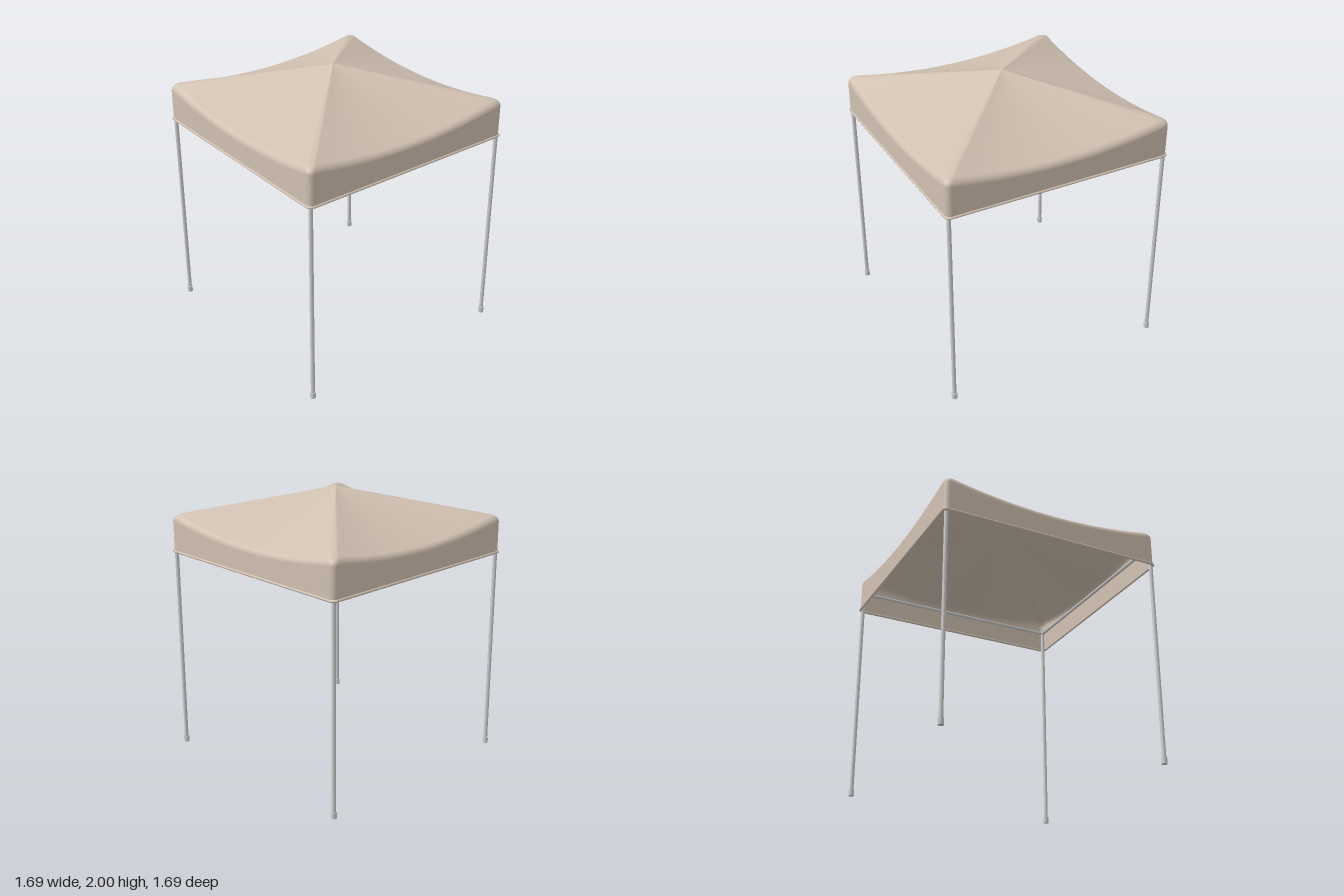
import * as THREE from 'three';

const HALF = 0.835, CORNER = 0.04, HEM_Y = 1.52, APEX_Y = 2;
const EAVE_Y = 1.79, SAG = 0.075, BEND = 0.05, LEG = 0.813;

// Rounded-square outline; s runs from 0 at mid-side to 1 at the corners
function outline(sideSteps = 24, arcSteps = 6) {
  const flat = HALF - CORNER, side = [];
  for (let i = 0; i < sideSteps; i++) side.push([HALF, -flat + (2 * flat * i) / sideSteps]);
  for (let i = 0; i < arcSteps; i++) {
    const a = (i / arcSteps) * Math.PI / 2;
    side.push([flat + CORNER * Math.cos(a), flat + CORNER * Math.sin(a)]);
  }
  const pts = [];
  for (let q = 0; q < 4; q++) {
    for (const [px, pz] of side) {
      let x = px, z = pz;
      for (let k = 0; k < q; k++) [x, z] = [-z, x];
      pts.push({ x, z, s: Math.min(1, Math.min(Math.abs(x), Math.abs(z)) / flat) });
    }
  }
  return pts;
}

// Skin a stack of rings; row(j, s) gives each ring's half width and height
function skin(rows, row) {
  const ring = outline(), n = ring.length, pos = [], idx = [];
  for (let j = 0; j < rows; j++) {
    for (const p of ring) {
      const [half, y] = row(j, p.s);
      pos.push(p.x * half / HALF, y, p.z * half / HALF);
    }
  }
  for (let j = 0; j < rows - 1; j++) {
    for (let i = 0; i < n; i++) {
      const a = j * n + i, b = j * n + (i + 1) % n, c = a + n, d = b + n;
      idx.push(a, c, b);
      if (row(j + 1, 1)[0] > 0) idx.push(b, c, d);
    }
  }
  const g = new THREE.BufferGeometry();
  g.setAttribute('position', new THREE.Float32BufferAttribute(pos, 3));
  g.setIndex(idx);
  g.computeVertexNormals();
  return g;
}

export function createModel() {
  const model = new THREE.Group();
  model.name = 'canopyTent';
  const fabric = new THREE.MeshStandardMaterial({ color: 0xd0c0b0, side: THREE.DoubleSide });
  const metal = new THREE.MeshStandardMaterial({ color: 0xcccccc });
  const add = (name, geometry, material, x = 0, y = 0, z = 0) => {
    const mesh = new THREE.Mesh(geometry, material);
    mesh.name = name;
    mesh.position.set(x, y, z);
    model.add(mesh);
    return mesh;
  };

  // Canopy: upright valance, rounded sagging eave, straight slopes to the peak
  const arcRows = 8, roofRows = 8, turn = THREE.MathUtils.degToRad(75);
  const canopyRow = (j, s) => {
    const eave = EAVE_Y - SAG * (1 - s * s);
    const bendY = eave - BEND * Math.sin(turn);
    if (j < 2) return [HALF, HEM_Y + (bendY - HEM_Y) * j * 0.5];
    const k = j - 2;
    if (k <= arcRows) {
      const a = turn * k / arcRows;
      return [HALF - BEND * (1 - Math.cos(a)), bendY + BEND * Math.sin(a)];
    }
    const t = (k - arcRows) / roofRows;
    return [(HALF - BEND * (1 - Math.cos(turn))) * (1 - t), eave + (APEX_Y - eave) * t];
  };
  add('canopy', skin(3 + arcRows + roofRows, canopyRow), fabric);

  // Rolled hem around the lower edge of the valance
  add('hem', skin(13, (j) => {
    const a = (j / 12) * Math.PI * 2;
    return [HALF + 0.009 * Math.cos(a), HEM_Y + 0.009 * Math.sin(a)];
  }), fabric);

  // Legs with feet
  const legGeo = new THREE.CylinderGeometry(0.0145, 0.0145, 1.7, 20);
  const footGeo = new THREE.CylinderGeometry(0.02, 0.02, 0.045, 20);
  for (const x of [-LEG, LEG]) {
    for (const z of [-LEG, LEG]) {
      const place = (z > 0 ? 'front' : 'back') + (x > 0 ? 'Left' : 'Right');
      add(place + 'Leg', legGeo, metal, x, 0.85, z);
      add(place + 'Foot', footGeo, metal, x, 0.0225, z);
    }
  }

  // Frame rails joining the leg tops under the eaves
  const railGeo = new THREE.CylinderGeometry(0.012, 0.012, LEG * 2, 16);
  for (const side of [-1, 1]) {
    add(side > 0 ? 'frontRail' : 'backRail', railGeo, metal, 0, 1.67, side * LEG).rotation.z = Math.PI / 2;
    add(side > 0 ? 'leftRail' : 'rightRail', railGeo, metal, side * LEG, 1.67, 0).rotation.x = Math.PI / 2;
  }
  return model;
}
